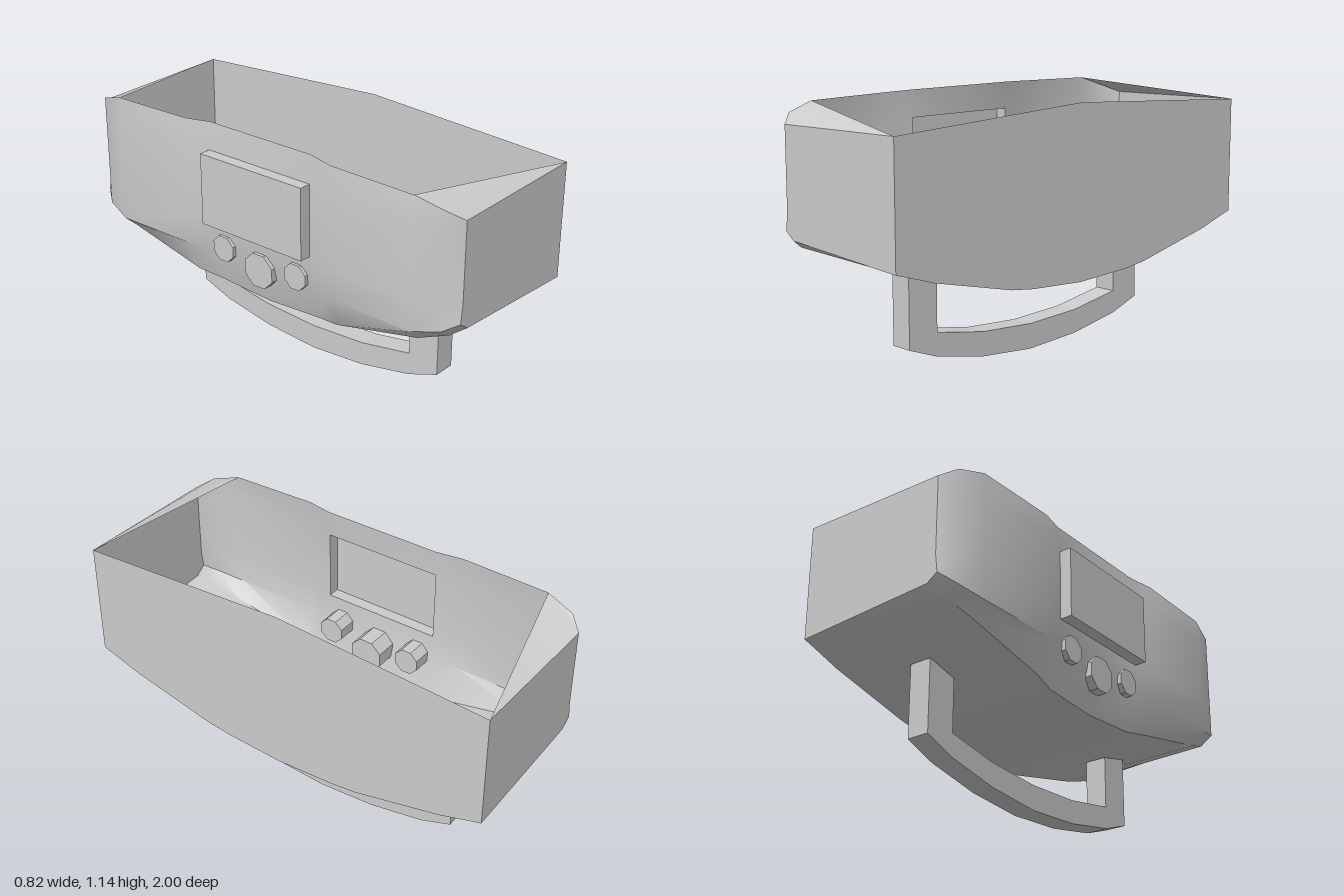
import * as THREE from 'three';
import { toCreasedNormals } from 'three/addons/utils/BufferGeometryUtils.js';

const grey = new THREE.MeshStandardMaterial({ color: 0xcccccc, side: THREE.DoubleSide });

function part(name, geometry) {
  const mesh = new THREE.Mesh(geometry, grey);
  mesh.name = name;
  return mesh;
}

// Collects polygons as triangle fans, then keeps only sharp edges creased
function fans(polygons, crease) {
  const pos = [];
  for (const p of polygons)
    for (let i = 1; i < p.length - 1; i++) pos.push(...p[0], ...p[i], ...p[i + 1]);
  const geo = new THREE.BufferGeometry();
  geo.setAttribute('position', new THREE.Float32BufferAttribute(pos, 3));
  return toCreasedNormals(geo, crease);
}

// Cross-sections from the end to the middle: z, then [x, y] from the top rim
// down the back wall, under the chamfer and along the floor to the front
const half = [
  [1.0, [-0.29, 1.05], [-0.29, 1.0], [-0.29, 0.69], [-0.3, 0.61], [-0.25, 0.575], [0.41, 0.54]],
  [0.94, [-0.345, 1.09], [-0.345, 1.02], [-0.345, 0.69], [-0.345, 0.575], [-0.285, 0.535], [0.41, 0.522]],
  [0.81, [-0.37, 1.127], [-0.382, 1.03], [-0.384, 0.69], [-0.38, 0.545], [-0.315, 0.488], [0.41, 0.48]],
  [0.4, [-0.372, 1.135], [-0.387, 1.015], [-0.387, 0.69], [-0.38, 0.55], [-0.32, 0.4], [0.41, 0.385]],
  [0.28, [-0.345, 1.14], [-0.355, 1.015], [-0.355, 0.69], [-0.345, 0.55], [-0.297, 0.382], [0.41, 0.37]],
  [0.0, [-0.345, 1.14], [-0.355, 1.015], [-0.355, 0.69], [-0.345, 0.55], [-0.295, 0.365], [0.41, 0.355]],
];

function createShell() {
  const mirrored = half.slice(0, -1).reverse().map(([z, ...p]) => [-z, ...p]);
  const rings = [...half, ...mirrored].map(([z, ...p]) => p.map(([x, y]) => [x, y, z]));
  const last = rings.length - 1;

  // Back wall and floor, leaving an opening behind the screen
  const skin = [];
  for (let i = 0; i < last; i++)
    for (let j = 0; j < 5; j++) {
      const a = rings[i], b = rings[i + 1];
      if (j === 1 && Math.abs(a[0][2] + b[0][2]) < 0.5) continue;
      skin.push([a[j], b[j], b[j + 1], a[j + 1]]);
    }

  // End walls with the small sloping corner lids
  const ends = [];
  const lids = [];
  for (const s of [1, -1]) {
    const [r0, r1, r2] = s > 0 ? rings : [...rings].reverse();
    const corner = [0.41, 1.065, s];
    const wall = [corner, ...r0];
    const lid = [corner, r2[0], r1[0], r0[0]];
    ends.push(s > 0 ? wall : wall.reverse());
    lids.push(s > 0 ? lid : lid.reverse());
  }

  // Front wall rising to a shallow peak
  const front = [[0.41, 1.12, 0], [0.41, 1.065, 1], ...rings.map((r) => r[5]), [0.41, 1.065, -1]];

  const shell = new THREE.Group();
  shell.name = 'shell';
  shell.add(
    part('backAndFloor', fans(skin, 0.6)),
    part('endWalls', fans(ends, 0.3)),
    part('cornerLids', fans(lids, 0.6)),
    part('frontWall', fans([front], 0.3))
  );
  return shell;
}

// Screen housing, open towards the inside of the shell
function createScreen() {
  const geo = new THREE.BoxGeometry(0.055, 0.325, 0.56);
  geo.setIndex([...geo.index.array].slice(6));
  geo.clearGroups();
  geo.translate(-0.3825, 0.8525, 0);
  return part('screen', geo);
}

// Faceted knob pushed through the back wall
function createKnob(y, z, radius, inner) {
  const outer = -0.365;
  const geo = new THREE.CylinderGeometry(radius, radius, inner - outer, 8);
  geo.rotateY(Math.PI / 8).rotateZ(Math.PI / 2);
  geo.translate((inner + outer) / 2, y, z);
  return part('knob', toCreasedNormals(geo, 0.3));
}

// Curved carrying handle under the floor
function createHandle() {
  const outer = [[0.69, 0.455], [0.69, 0.125], [0.54, 0.07], [0.28, 0.02], [0, 0]];
  const inner = [[0, 0.115], [0.28, 0.13], [0.54, 0.175], [0.54, 0.42]];
  const flip = (list) => list.map(([z, y]) => [-z, y]).reverse();
  const outline = [...outer, ...flip(outer).slice(1), ...flip(inner), ...inner.slice(1)];
  const shape = new THREE.Shape(outline.map(([z, y]) => new THREE.Vector2(z, y)));
  const geo = new THREE.ExtrudeGeometry(shape, { depth: 0.105, bevelEnabled: false });
  geo.rotateY(Math.PI / 2);
  return part('handle', geo);
}

export function createModel() {
  const model = new THREE.Group();
  model.name = 'openConsole';
  model.add(createShell(), createScreen(), createHandle());
  model.add(createKnob(0.535, 0, 0.083, -0.24));
  for (const s of [1, -1]) model.add(createKnob(0.575, 0.205 * s, 0.062, -0.257));
  return model;
}
